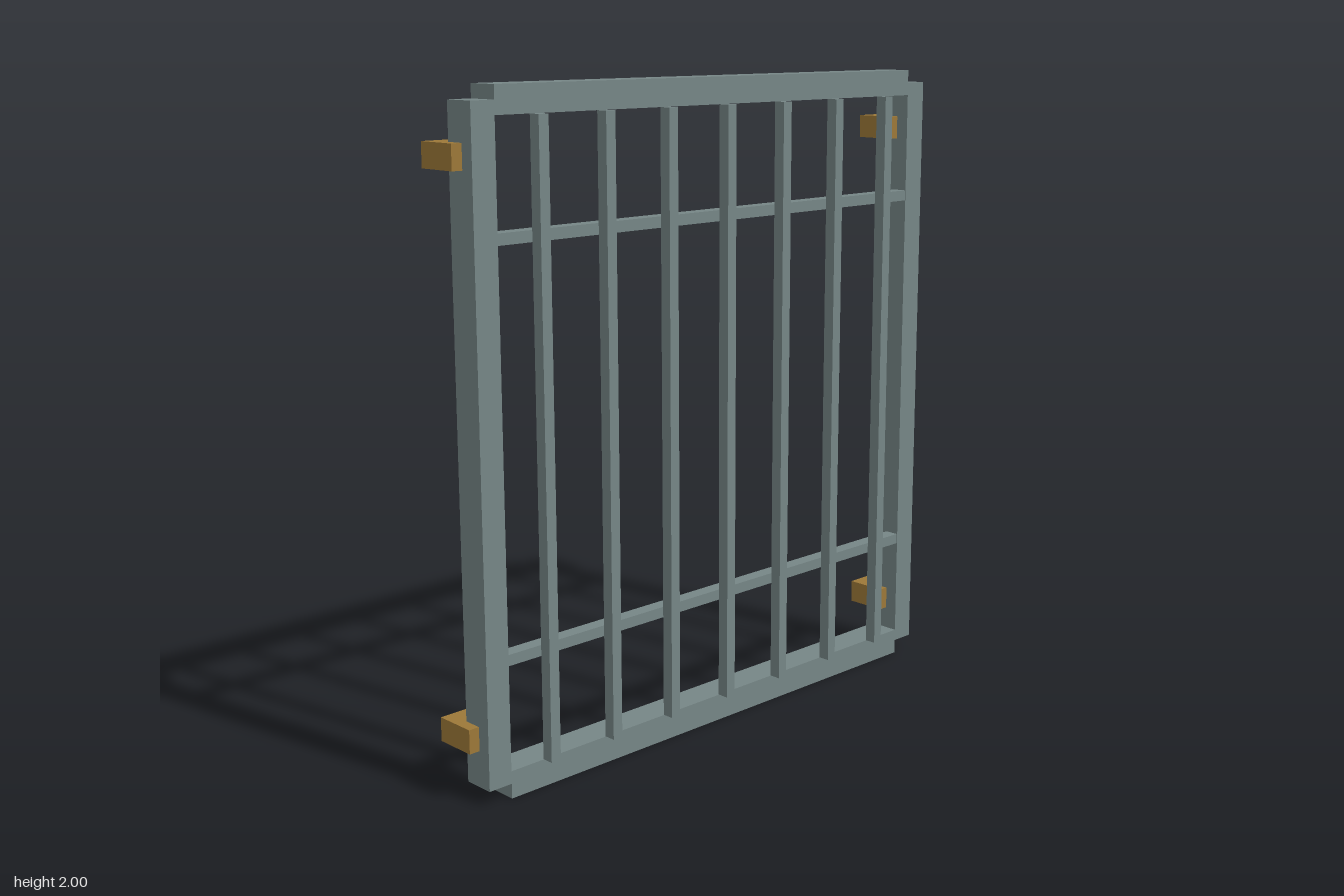
import * as THREE from 'three';

export function createModel() {
  const model = new THREE.Group();
  model.name = 'barredGate';
  const steel = new THREE.MeshStandardMaterial({ color: 0x768686 });
  steel.name = 'greySteel';
  const brass = new THREE.MeshStandardMaterial({ color: 0x9c7838 });
  brass.name = 'brass';

  // Box given by its limits on each axis
  function block(name, material, [x0, x1], [y0, y1], [z0, z1]) {
    const mesh = new THREE.Mesh(new THREE.BoxGeometry(x1 - x0, y1 - y0, z1 - z0), material);
    mesh.position.set((x0 + x1) / 2, (y0 + y1) / 2, (z0 + z1) / 2);
    mesh.name = name;
    model.add(mesh);
  }

  const frameZ = [-0.03, 0.07];

  // Outer frame: top and bottom rails between two side posts
  block('bottomRail', steel, [-0.845, 0.845], [0, 0.083], frameZ);
  block('topRail', steel, [-0.845, 0.845], [1.92, 2], frameZ);
  for (const [side, s] of [['left', 1], ['right', -1]]) {
    const span = (a, b) => (s > 0 ? [a, b] : [-b, -a]);
    block(side + 'Post', steel, span(0.845, 0.923), [0.045, 1.96], frameZ);

    // Wall brackets wrapped around the back of each post
    block(side + 'LowerBracket', brass, span(0.813, 0.957), [0.155, 0.227], [-0.105, 0.028]);
    block(side + 'UpperBracket', brass, span(0.813, 0.957), [1.778, 1.85], [-0.105, 0.028]);
  }

  // Thin crossbars behind the upright bars
  block('lowerCrossbar', steel, [-0.845, 0.845], [0.397, 0.43], [0.022, 0.068]);
  block('upperCrossbar', steel, [-0.845, 0.845], [1.577, 1.61], [0.022, 0.068]);

  // Seven upright bars on the front
  for (let i = -3; i <= 3; i++) {
    const x = i * 0.2365;
    block('uprightBar' + (i + 4), steel, [x - 0.017, x + 0.017], [0.083, 1.92], [0.068, 0.105]);
  }
  return model;
}
